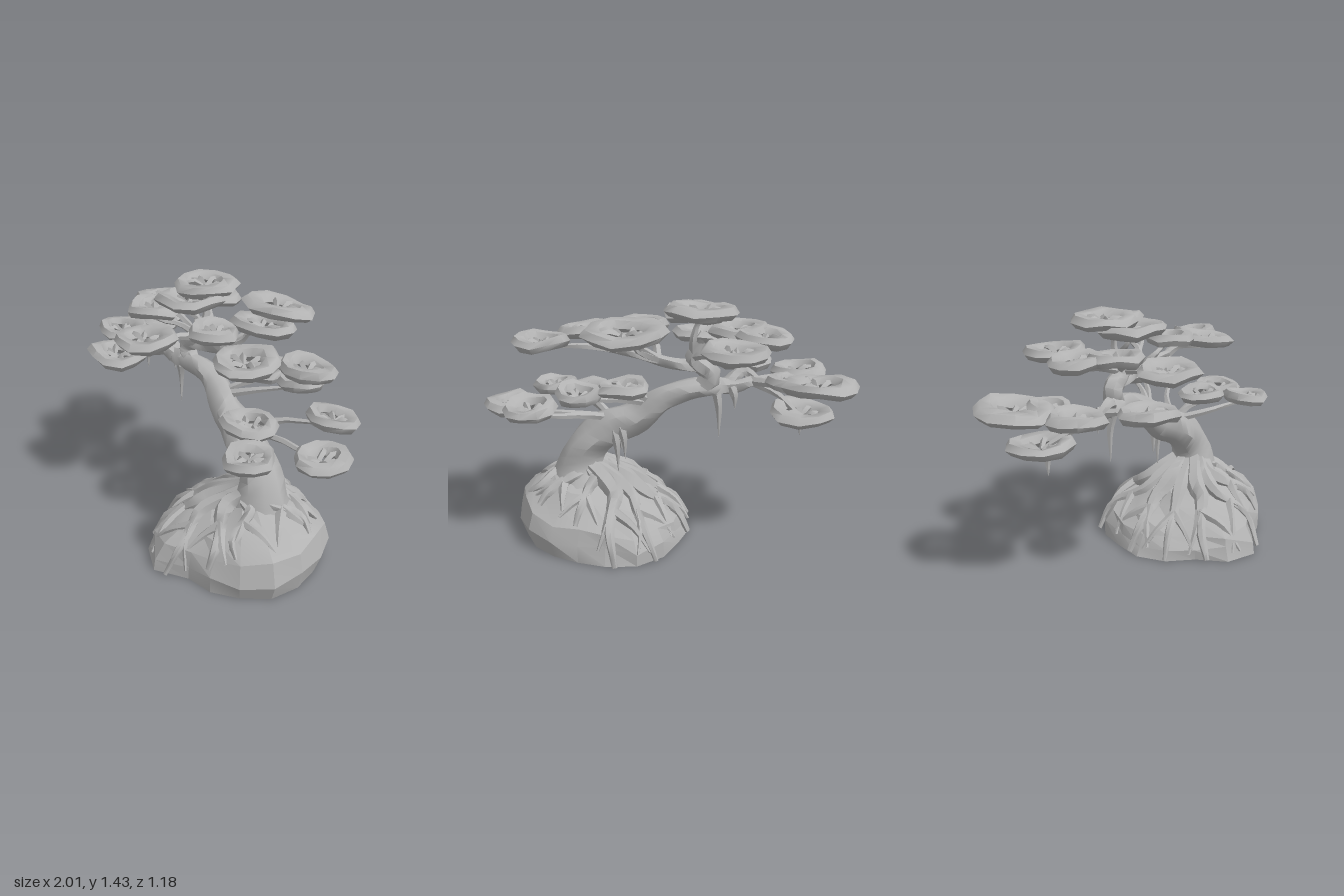
import * as THREE from 'three';
import { mergeGeometries, toCreasedNormals } from 'three/addons/utils/BufferGeometryUtils.js';

const grey = new THREE.MeshStandardMaterial({ color: 0xb2b2b2, side: THREE.DoubleSide });
grey.name = 'plain grey';

let seed = 7;
const rnd = () => (seed = (seed * 16807) % 2147483647) / 2147483647;
const V = (p) => new THREE.Vector3(...p);
// position-based wobble, so shared corners stay joined
const wobble = (x, y, z, s) => Math.sin(x * 17 + s) * Math.cos(z * 19 + s * 2) + 0.5 * Math.sin(y * 23 + x * 31 + z * 11 + s);

// tapered, slightly gnarled tube along points [x, y, z, radius]
function limb(pts, sides = 6, steps = 4, gnarl = 0.12) {
  const curve = new THREE.CatmullRomCurve3(pts.map((p) => V(p.slice(0, 3))));
  const n = (pts.length - 1) * steps;
  const geo = new THREE.TubeGeometry(curve, n, 1, sides);
  const pos = geo.attributes.position, v = new THREE.Vector3();
  for (let i = 0; i < pos.count; i++) {
    const ring = Math.floor(i / (sides + 1));
    const u = curve.getUtoTmapping(ring / n) * (pts.length - 1);
    const k = Math.min(Math.floor(u), pts.length - 2);
    const r = THREE.MathUtils.lerp(pts[k][3], pts[k + 1][3], u - k);
    const c = curve.getPointAt(ring / n);
    v.fromBufferAttribute(pos, i).sub(c);
    const w = 1 + gnarl * Math.sin(Math.atan2(v.z, v.x + v.y) * 3 + ring * 0.9);
    v.multiplyScalar(r * w).add(c);
    pos.setXYZ(i, v.x, v.y, v.z);
  }
  return toCreasedNormals(geo, 0.9);
}

function add(group, name, geos) {
  const mesh = new THREE.Mesh(geos.length > 1 ? mergeGeometries(geos) : geos[0], grey);
  mesh.name = name;
  group.add(mesh);
}

// rock footprint: [degrees from +x towards +z, radius]
const CX = 0.34, CZ = 0.05;
const FOOT = [[0, 0.55], [30, 0.55], [60, 0.5], [90, 0.45], [110, 0.55], [130, 0.54], [150, 0.48], [180, 0.53],
  [210, 0.5], [240, 0.53], [258, 0.53], [275, 0.46], [300, 0.47], [330, 0.52], [360, 0.55]];
function footRadius(a) {
  const d = ((a * 180 / Math.PI) % 360 + 360) % 360;
  const i = Math.max(1, FOOT.findIndex((f) => f[0] >= d));
  const [d0, r0] = FOOT[i - 1], [d1, r1] = FOOT[i];
  return r0 + (r1 - r0) * (d - d0) / (d1 - d0);
}
const PROFILE = [[0, 0], [1, 0], [0.97, 0.09], [0.88, 0.18], [0.74, 0.235], [0.56, 0.29], [0.34, 0.35], [0.001, 0.4]];
// the rock is higher on its +x side
const lift = (x, y) => y * (1 + 0.65 * THREE.MathUtils.clamp(x - CX, -0.5, 0.45));
function rockHeight(f) {
  for (let i = 2; i < PROFILE.length; i++) {
    const [f0, y0] = PROFILE[i - 1], [f1, y1] = PROFILE[i];
    if (f >= f1) return Math.max(0, y0 + (y1 - y0) * (f0 - f) / (f0 - f1));
  }
  return 0.4;
}

function rock() {
  const geo = new THREE.LatheGeometry(PROFILE.map((p) => new THREE.Vector2(...p)), 18);
  const pos = geo.attributes.position;
  for (let i = 0; i < pos.count; i++) {
    const x = pos.getX(i), y = pos.getY(i), z = pos.getZ(i);
    const undercut = y < 0.04 && x > 0 ? 1 - 0.12 * x : 1;
    const r = footRadius(Math.atan2(z, x)) * undercut * (1 + (y > 0 ? 0.045 : 0.025) * wobble(x, y, z, 1.3));
    const px = CX + x * r, pz = CZ + z * r;
    pos.setXYZ(i, px, y > 0 ? lift(px, y) + 0.024 * wobble(z, y, x, 4) : 0, pz);
  }
  return toCreasedNormals(geo, 0.35);
}

// root draped over the rock in direction a, with two forks at the end
function root(a, reach, r) {
  const at = (ang, f, rad, up = 0) => {
    const R = footRadius(ang) * f;
    const x = CX + Math.cos(ang) * R, z = CZ + Math.sin(ang) * R;
    return [x, Math.max(0.015, lift(x, rockHeight(f)) + up), z, rad];
  };
  const start = [0.46 + Math.cos(a) * 0.05, 0.47, 0.05 + Math.sin(a) * 0.05, r];
  const bend = (rnd() - 0.5) * 0.6;
  const mid = at(a + bend * 0.4, reach * 0.62, r * 0.75, 0.008);
  const out = [limb([start, at(a, reach * 0.33, r * 1.2, 0.01), at(a - bend * 0.3, reach * 0.48, r, 0.012), mid,
    at(a + bend, reach * 0.85, r * 0.6, 0.008), at(a + bend * 0.7, reach, r * 0.35, -0.005)], 6, 3)];
  for (const s of [-1, 1]) {
    out.push(limb([mid, at(a + s * 0.18, reach * 0.8, r * 0.45, 0.012), at(a + s * 0.3, reach * 0.95, 0.008, -0.01)], 5, 3));
  }
  return out;
}

// branch nodes, then pads: [branch node, x, y, z, x radius, z radius, tilt about x]
const NODES = {
  low: [0.28, 0.72, 0.0], back: [0.04, 0.82, -0.06], farLeft: [-0.5, 0.95, -0.1],
  crown: [-0.17, 1.1, -0.12], top: [0.02, 1.09, -0.1], right: [0.24, 1.13, -0.03],
};
const PADS = [
  ['farLeft', -0.80, 1.01, -0.39, 0.20, 0.21, 0.11], ['farLeft', -0.66, 1.0, -0.27, 0.12, 0.12, 0.1],
  ['farLeft', -0.77, 1.0, -0.06, 0.16, 0.15, 0.05], ['farLeft', -0.74, 0.83, -0.28, 0.18, 0.18, -0.06],
  ['farLeft', -0.51, 0.99, 0.2, 0.18, 0.16, 0],
  ['crown', -0.34, 1.215, -0.43, 0.18, 0.17, -0.05], ['crown', -0.54, 1.22, -0.18, 0.16, 0.15, 0],
  ['crown', -0.43, 1.23, -0.02, 0.16, 0.15, -0.08], ['crown', -0.27, 1.15, 0.2, 0.19, 0.17, 0.06],
  ['crown', -0.20, 1.38, -0.21, 0.2, 0.18, 0.04], ['crown', -0.18, 1.335, -0.06, 0.19, 0.19, 0],
  ['top', 0.21, 1.31, -0.36, 0.23, 0.17, -0.14], ['top', 0.24, 1.26, -0.2, 0.2, 0.15, -0.05],
  ['top', 0.10, 1.25, 0.04, 0.14, 0.14, 0], ['right', 0.40, 1.205, 0.13, 0.17, 0.18, 0.05],
  ['right', 0.65, 1.19, -0.04, 0.16, 0.13, 0], ['back', 0.22, 0.985, -0.25, 0.15, 0.14, 0],
  ['back', 0.45, 0.965, -0.28, 0.13, 0.13, -0.05], ['low', 0.43, 0.86, 0.12, 0.17, 0.14, 0],
  ['low', 0.61, 0.82, 0.33, 0.13, 0.14, 0.05], ['low', 0.85, 0.805, 0.06, 0.145, 0.16, 0],
  ['low', 0.71, 0.87, -0.21, 0.15, 0.14, -0.15],
];

// foliage pad: flattened lumpy ring with a sharp rim
function pad(x, y, z, rx, rz, tilt, s) {
  const geo = new THREE.TorusGeometry(0.72, 0.28, 6, 10).rotateX(Math.PI / 2);
  const pos = geo.attributes.position;
  for (let i = 0; i < pos.count; i++) {
    const px = pos.getX(i), py = pos.getY(i), pz = pos.getZ(i);
    const w = 1 + 0.07 * wobble(px * 0.2, 0, pz * 0.2, s);
    // the inside of the ring sags into a shallow bowl
    const sag = 0.35 * Math.max(0, 0.7 - Math.hypot(px, pz));
    pos.setXYZ(i, px * w, py - sag + 0.09 * wobble(px * 0.15, py * 0.1, pz * 0.15, s * 3), pz * w);
  }
  geo.scale(rx, 0.13, rz).rotateZ((rnd() - 0.5) * 0.12).rotateX(tilt).translate(x, y, z);
  return toCreasedNormals(geo, 0.95);
}

export function createModel() {
  const model = new THREE.Group();
  model.name = 'bonsaiTree';
  add(model, 'rock', [rock()]);

  // leaning trunk with a flared foot, and the main limbs
  add(model, 'trunk', [limb([[0.46, 0.3, 0.04, 0.2], [0.465, 0.42, 0.05, 0.135], [0.43, 0.54, 0.03, 0.115], [0.3, 0.66, 0.0, 0.11],
    [0.12, 0.75, -0.05, 0.09], [0.0, 0.86, -0.09, 0.07], [-0.13, 0.915, -0.11, 0.06], [-0.28, 0.93, -0.11, 0.055],
    [-0.34, 0.93, -0.11, 0.03]], 9, 3, 0.07)]);
  add(model, 'mainLimbs', [
    limb([[-0.2, 0.92, -0.11, 0.05], [-0.27, 1.0, -0.13, 0.058], [-0.17, 1.1, -0.12, 0.05], [-0.2, 1.2, -0.15, 0.025]], 7),
    limb([[-0.22, 1.05, -0.12, 0.04], [-0.1, 1.06, -0.11, 0.034], [0.02, 1.09, -0.1, 0.032], [0.24, 1.13, -0.03, 0.022]]),
    limb([[-0.26, 0.93, -0.1, 0.055], [-0.4, 0.93, -0.11, 0.04], [-0.5, 0.95, -0.1, 0.03]]),
    limb([[-0.36, 0.93, -0.1, 0.04], [-0.46, 1.0, -0.05, 0.03], [-0.58, 0.91, -0.08, 0.012]]),
  ]);

  const roots = [];
  [[0.1, 0.8], [0.75, 0.84], [1.35, 0.93], [1.9, 1.03], [2.4, 1.03], [2.95, 1.02], [3.5, 1.0], [4.05, 1.02], [4.5, 1.02], [5.1, 0.86], [5.7, 0.8]]
    .forEach(([a, f], i) => roots.push(...root(a, f, i % 2 ? 0.036 : 0.046)));
  add(model, 'roots', roots);

  // each pad gets a crooked branch, and twigs filling the ring
  const pads = [], branches = [], twigs = [];
  PADS.forEach(([node, x, y, z, rx, rz, tilt], i) => {
    const n = NODES[node], kink = () => (rnd() - 0.5) * 0.07;
    pads.push(pad(x, y, z, rx, rz, tilt, i + 1));
    const mix = (t, d) => [n[0] + (x - n[0]) * t + kink(), n[1] + (y - n[1]) * t - d, n[2] + (z - n[2]) * t + kink()];
    branches.push(limb([[...n, 0.024], [...mix(0.45, 0), 0.018], [...mix(0.8, 0.025), 0.014], [x, y - 0.025, z, 0.01]], 5, 2));
    for (let k = 0; k < 7; k++) {
      const a = k * 0.9 + rnd() * 0.6, c = Math.cos(a), s = Math.sin(a);
      twigs.push(limb([[x + kink() * 0.6, y - 0.03, z + kink() * 0.6, 0.012],
        [x + c * rx * 0.38, y - 0.02 + rnd() * 0.035, z + s * rz * 0.38, 0.018],
        [x + c * rx * 0.72, y - 0.01, z + s * rz * 0.72, 0.006]], 4, 2));
    }
  });
  add(model, 'foliagePads', pads);
  add(model, 'branches', branches);
  add(model, 'twigs', twigs);

  // hanging aerial roots: [x, top, z, tip]
  add(model, 'hangingRoots', [[0.25, 0.68, -0.1, 0.43], [0.21, 0.7, -0.11, 0.51], [0.23, 0.66, -0.09, 0.56], [-0.32, 0.92, -0.12, 0.63],
    [-0.4, 0.93, -0.15, 0.81], [-0.75, 0.83, -0.24, 0.68]]
    .map(([x, top, z, tip]) => limb([[x + 0.02, top, z + 0.02, 0.03], [x + 0.005, (top * 2 + tip) / 3, z, 0.02], [x, tip, z, 0.002]], 5, 3)));
  return model;
}
